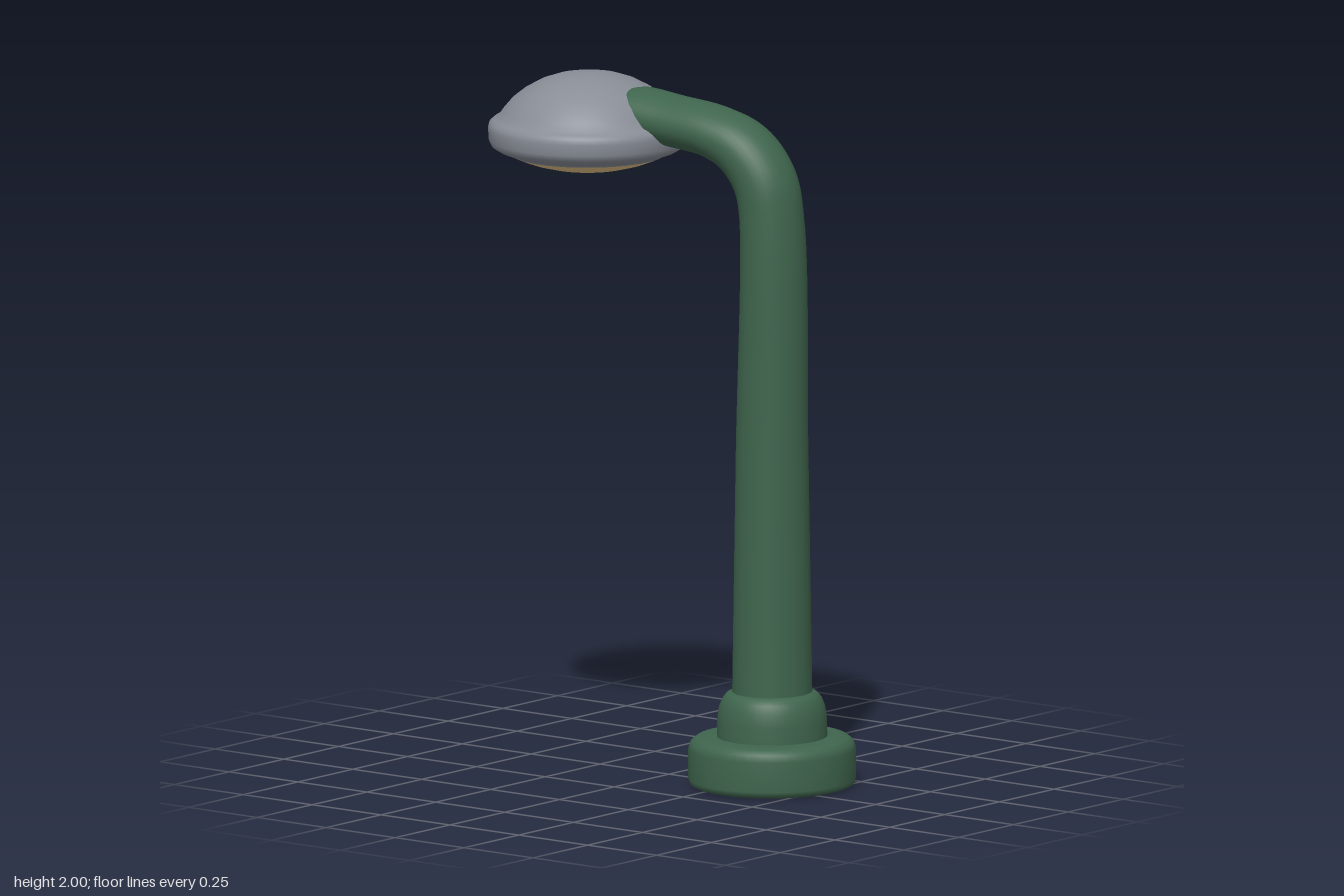
import * as THREE from 'three';

const green = new THREE.MeshStandardMaterial({ name: 'green paint', color: 0x3f654d });
const grey = new THREE.MeshStandardMaterial({ name: 'grey metal', color: 0x888d96 });
const amber = new THREE.MeshStandardMaterial({ name: 'warm glass', color: 0xf0cb8e });

// Round part from [radius, height] pairs listed bottom to top
function turned(name, points, material, x, z, sz) {
  const profile = points.map(([r, y]) => new THREE.Vector2(r, y));
  const mesh = new THREE.Mesh(new THREE.LatheGeometry(profile, 48), material);
  mesh.name = name;
  mesh.position.set(x, 0, z);
  mesh.scale.z = sz;
  return mesh;
}

// Tapered sweep; stations are [x, y, z, half width, half depth]
function sweep(stations, sides, steps) {
  const path = new THREE.CatmullRomCurve3(stations.map(s => new THREE.Vector3(s[0], s[1], s[2])), false, 'centripetal');
  const across = new THREE.Vector3(1, 0, 0.1).normalize();
  const positions = [], index = [];
  for (let i = 0; i <= steps; i++) {
    const t = i / steps, f = t * (stations.length - 1);
    const k = Math.min(Math.floor(f), stations.length - 2);
    const a = stations[k], b = stations[k + 1], m = f - k;
    const p = path.getPoint(t);
    const out = new THREE.Vector3().crossVectors(path.getTangent(t), across).normalize();
    const w = a[3] + (b[3] - a[3]) * m, d = a[4] + (b[4] - a[4]) * m;
    for (let j = 0; j < sides; j++) {
      const q = j / sides * Math.PI * 2;
      const v = p.clone().addScaledVector(across, Math.cos(q) * w).addScaledVector(out, Math.sin(q) * d);
      positions.push(v.x, v.y, v.z);
      if (i < steps) {
        const n = (j + 1) % sides, r = i * sides, u = r + sides;
        index.push(r + j, r + n, u + j, r + n, u + n, u + j);
      }
    }
  }
  const geometry = new THREE.BufferGeometry();
  geometry.setAttribute('position', new THREE.Float32BufferAttribute(positions, 3));
  geometry.setIndex(index);
  geometry.computeVertexNormals();
  return geometry;
}

export function createModel() {
  const lamp = new THREE.Group();
  lamp.name = 'streetLamp';

  // Two-step foot
  lamp.add(turned('base', [[0, 0], [0.225, 0], [0.238, 0.006], [0.243, 0.02], [0.243, 0.105],
    [0.236, 0.125], [0.22, 0.137], [0.195, 0.141], [0, 0.141]], green, 0.062, 0.325, 0.97));
  lamp.add(turned('collar', [[0.16, 0.13], [0.159, 0.19], [0.154, 0.225], [0.144, 0.25], [0.132, 0.264],
    [0.118, 0.27], [0, 0.27]], green, 0.062, 0.325, 0.97));

  // Tapering post that bends back into the arm
  const post = new THREE.Mesh(sweep([
    [0.06, 0.2, 0.327, 0.117, 0.113],
    [0.058, 0.95, 0.328, 0.106, 0.101],
    [0.057, 1.64, 0.327, 0.096, 0.088],
    [0.054, 1.745, 0.303, 0.097, 0.087],
    [0.046, 1.825, 0.24, 0.099, 0.081],
    [0.035, 1.866, 0.15, 0.1, 0.074],
    [0.022, 1.886, 0, 0.101, 0.073],
    [0.01, 1.899, -0.11, 0.102, 0.073],
    [0.005, 1.896, -0.16, 0.085, 0.06],
    [0.002, 1.892, -0.2, 0.06, 0.04],
  ], 32, 99), green);
  post.name = 'postAndArm';
  lamp.add(post);

  // Domed lamp head with rolled rim
  lamp.add(turned('lampShade', [[0.224, 1.764], [0.229, 1.77], [0.262, 1.78], [0.28, 1.791], [0.288, 1.808],
    [0.29, 1.84], [0.286, 1.856], [0.274, 1.866], [0.26, 1.873], [0.246, 1.893], [0.22, 1.923], [0.185, 1.95],
    [0.14, 1.974], [0.095, 1.989], [0.05, 1.997], [0, 2]], grey, -0.018, -0.278, 0.975));

  // Bulging glass underneath
  lamp.add(turned('lampGlass', [[0, 1.72], [0.06, 1.722], [0.12, 1.73], [0.17, 1.743], [0.205, 1.756],
    [0.226, 1.766]], amber, -0.018, -0.278, 0.975));
  return lamp;
}
